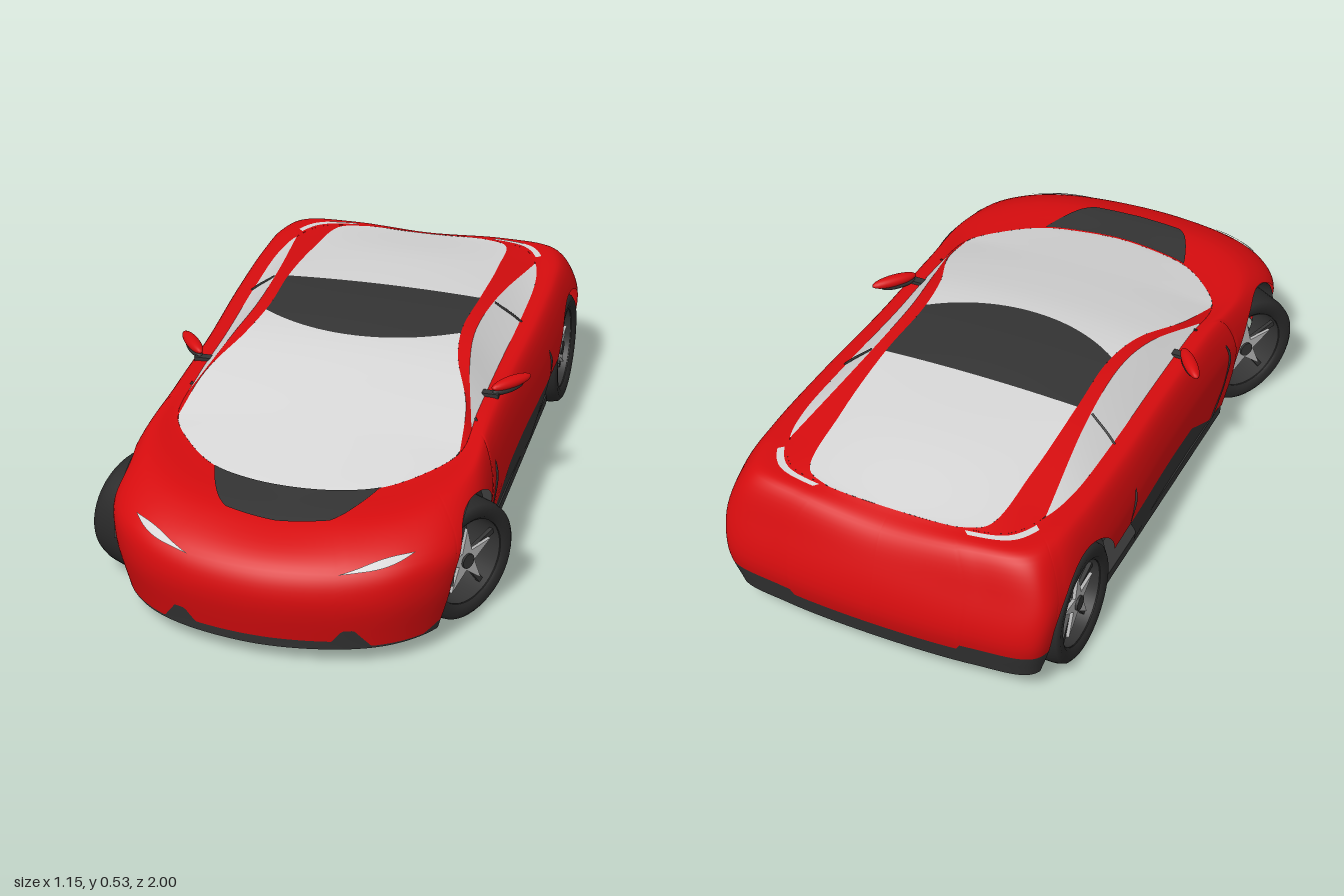
import * as THREE from 'three';

const V = (x, y, z) => new THREE.Vector3(x, y, z);
const mix = THREE.MathUtils.lerp;
const mat = (name, color) => new THREE.MeshStandardMaterial({ name, color, side: THREE.DoubleSide });
const red = mat('red paint', 0xd60c0e);
const glass = mat('pale glass', 0xd6d6d6);
const trim = mat('dark trim', 0x343434);
const rubber = mat('tyre rubber', 0x292929);
const silver = mat('silver', 0xb4b4b4);

// Piecewise-linear lookup through [x, y] pairs
const table = pts => x => {
  if (x <= pts[0][0]) return pts[0][1];
  for (let i = 1; i < pts.length; i++) {
    const [x0, y0] = pts[i - 1], [x1, y1] = pts[i];
    if (x <= x1) return mix(y0, y1, (x - x0) / (x1 - x0));
  }
  return pts[pts.length - 1][1];
};

// Loops around the car, each from one half: rear centre, left side, nose centre
function loop(half) {
  const other = half.slice(1, -1).reverse().map(p => V(-p.x, p.y, p.z));
  return new THREE.CatmullRomCurve3([...half, ...other], true);
}
const plan = [[0, -1], [.3, -.985], [.47, -.95], [.5, -.87], [.507, -.7], [.505, -.4], [.492, -.05],
  [.492, .3], [.503, .6], [.475, .78], [.39, .89], [.26, .96], [0, 1]];
// The plan outline scaled, at a height running from rear to nose
const ring = (sx, sz, yRear, yNose) => plan.map(([x, z], i) => V(x * sx, mix(yRear, yNose, i / 12), z * sz));
const beltPoints = [[0, .45, -.86], [.2, .455, -.855], [.33, .455, -.82], [.39, .455, -.72], [.415, .45, -.6],
  [.42, .44, -.35], [.415, .43, -.05], [.415, .425, .22], [.41, .4, .42], [.33, .385, .54], [.235, .375, .62],
  [.12, .37, .657], [0, .37, .67]].map(p => V(...p));
const waist = ring(1.01, .968, .335, .295);
const shoulder = waist.map((p, i) => {
  const q = beltPoints[i];
  return V(mix(p.x, q.x, .42), mix(p.y, q.y, .75) + .04 * p.x, mix(p.z, q.z, .42));
});
const belt = loop(beltPoints);
const loops = [loop(ring(.945, .973, .08, .055)), loop(ring(1, 1, .2, .22)), loop(waist), loop(shoulder), belt];

function named(name, geometry, material, x = 0, y = 0, z = 0) {
  const m = new THREE.Mesh(geometry, material);
  m.name = name;
  m.position.set(x, y, z);
  return m;
}
// Grid surface from f(i, j) with i, j in 0..1
function grid(name, material, ni, nj, f) {
  const pos = [], idx = [];
  for (let i = 0; i <= ni; i++) for (let j = 0; j <= nj; j++) pos.push(...f(i / ni, j / nj).toArray());
  for (let i = 0; i < ni; i++) for (let j = 0; j < nj; j++) {
    const a = i * (nj + 1) + j, b = a + nj + 1;
    idx.push(a, a + 1, b, b, a + 1, b + 1);
  }
  const g = new THREE.BufferGeometry();
  g.setAttribute('position', new THREE.Float32BufferAttribute(pos, 3));
  g.setIndex(idx);
  g.computeVertexNormals();
  return named(name, g, material);
}

// Body panel: columns at loop positions i0..i1 (of 24), between levels lo and hi (0..4)
function panel(name, material, i0, i1, cols, rows, lo, hi, lift = 0) {
  let last = -1, col, v0, v1;
  return grid(name, material, cols, rows, (a, b) => {
    if (a !== last) {
      last = a;
      const i = mix(i0, i1, a);
      const c = new THREE.CatmullRomCurve3(loops.map(l => l.getPoint(i / 24)));
      col = v => c.getPoint(v / 4);
      v0 = lo(col, i);
      v1 = hi(col, i);
    }
    const p = col(mix(v0, v1, b));
    return V(p.x * (1 + lift), p.y + lift, p.z * (1 + lift));
  });
}
// Level at which a column reaches the height given by fn
const cut = fn => col => {
  const below = v => { const p = col(v); return p.y < fn(p); };
  if (!below(0)) return 0;
  let a = 0, b = 3;
  for (let k = 0; k < 18; k++) { const m = (a + b) / 2; if (below(m)) a = m; else b = m; }
  return b;
};

// Lower edge of the painted body: arches, skirt line, bumpers
const axles = [.59, -.71];
const intake = table([[.19, .085], [.22, .125], [.25, .125], [.29, .065], [.41, .065], [.5, .13]]);
const skirtTop = table([[-.41, .23], [.09, .2], [.31, .065]]);
const skirtLow = table([[-.41, .23], [-.31, .11], [-.309, 0]]);
function paintLow({ x, z }) {
  if (z < -.9) return Math.abs(x) < .25 ? .14 : .16;
  if (z > .78) return intake(Math.abs(x));
  let y = z > -.41 && z < .31 ? skirtTop(z) : z > -.56 && z <= -.41 ? .23 : 0;
  for (const c of axles) if (Math.abs(z - c) < .195) y = Math.max(y, .17 + Math.sqrt(.195 ** 2 - (z - c) ** 2));
  return y;
}
function trimLow(p) {
  if (p.z < -.9 || p.z > .78) return 0;
  return p.z > -.41 && p.z < .31 ? skirtLow(p.z) : paintLow(p);
}

// Curves looked up by z for the cabin
function track(points) {
  return z => {
    let k = 1;
    while (k < points.length - 1 && points[k].z < z) k++;
    const a = points[k - 1], b = points[k];
    return a.clone().lerp(b, THREE.MathUtils.clamp((z - a.z) / (b.z - a.z), 0, 1));
  };
}
const smooth = pts => track(new THREE.CatmullRomCurve3(pts.map(p => V(...p))).getPoints(300));
const beltAt = track(Array.from({ length: 601 }, (_, k) => belt.getPoint(k / 1200)));
const railIn = smooth([[.2, .455, -.855], [.27, .46, -.82], [.295, .485, -.6], [.3, .512, -.32],
  [.295, .515, -.1], [.32, .5, .06], [.385, .455, .24], [.41, .4, .42]]);
const railOut = smooth([[.39, .455, -.72], [.345, .502, -.35], [.335, .512, -.1], [.355, .495, .06], [.415, .42, .3]]);
const crown = smooth([[0, .45, -.86], [0, .496, -.6], [0, .52, -.32], [0, .526, -.15], [0, .512, .06],
  [0, .475, .24], [0, .43, .42], [0, .37, .67]]);
const inner = z => (z < -.855 || z > .42 ? beltAt(z) : railIn(z));
const outer = z => (z < -.72 || z > .3 ? beltAt(z) : railOut(z));
const ease = w => (1 - Math.cos(Math.PI * w)) / 2;

function topPanel(name, material, z0, z1) {
  return grid(name, material, 32, 40, (a, w) => {
    const u = a * 2 - 1, z = mix(z0(u), z1(u), ease(w)), r = inner(z);
    return V(u * r.x, mix(r.y, crown(z).y, 1 - u * u), z);
  });
}
function sideBand(name, material, s, z0, z1, low, high) {
  return grid(name, material, 80, 4, (a, b) => {
    const z = mix(z0, z1, ease(s > 0 ? a : 1 - a)), p = low(z).lerp(high(z), b);
    return V(s * p.x, p.y, z);
  });
}

function wheel(name) {
  const g = new THREE.Group();
  g.name = name;
  const half = [[.125, -.062], [.135, -.072], [.158, -.075], [.17, -.066], [.175, -.045]];
  const profile = [...half, ...half.slice().reverse().map(([r, w]) => [r, -w])].map(p => new THREE.Vector2(...p));
  const tyre = named('tyre', new THREE.LatheGeometry(profile, 48), rubber);
  const barrel = named('rim barrel', new THREE.CylinderGeometry(.126, .126, .13, 48, 1, true), trim);
  tyre.rotation.z = barrel.rotation.z = Math.PI / 2;
  // Star-shaped rim with slender dark arms reaching the barrel
  const star = new THREE.Shape(Array.from({ length: 10 }, (_, k) => {
    const r = k % 2 ? .032 : .1, a = k * Math.PI / 5 + Math.PI / 2;
    return new THREE.Vector2(r * Math.cos(a), r * Math.sin(a));
  }));
  const face = named('star rim', new THREE.ExtrudeGeometry(star, { depth: .01, bevelEnabled: false }), silver, .045);
  face.rotation.y = Math.PI / 2;
  const hub = named('hub', new THREE.CylinderGeometry(.018, .022, .06, 20), trim, .032);
  hub.rotation.z = Math.PI / 2;
  g.add(tyre, barrel, face, hub);
  for (let k = 0; k < 5; k++) {
    const a = k * Math.PI * .4;
    const arm = named('rim arm', new THREE.BoxGeometry(.012, .12, .016), trim, .037, .065 * Math.cos(a), .065 * Math.sin(a));
    arm.rotation.x = a;
    g.add(arm);
  }
  return g;
}

export function createModel() {
  const car = new THREE.Group();
  car.name = 'sports car';
  const top = () => 4;
  car.add(panel('body shell', red, 0, 24, 720, 24, cut(paintLow), top));
  car.add(panel('lower trim', trim, 0, 24, 720, 4, cut(trimLow), cut(paintLow)));
  const ventEdge = table([[0, 3.1], [.75, 3.15], [2, 4]]);
  car.add(panel('hood vent', trim, 10, 14, 60, 14, (c, i) => ventEdge(Math.abs(i - 12)), top, .003));

  // Cabin: rear glass, roof and windscreen
  const header = u => .025 - .1 * u * u;
  car.add(topPanel('rear window', glass, () => -.86, () => -.32));
  car.add(topPanel('roof', trim, () => -.32, header));
  car.add(topPanel('windscreen', glass, header, () => .67));

  // Floor, rising to the tail, narrow between the wheels
  const floorY = table([[-.95, .085], [-.9, .15], [-.73, .065], [-.57, .05], [.4, .05], [.75, .06]]);
  const floorW = table([[-.96, .28], [-.9, .44], [.79, .42], [.94, .23], [.97, .03]]);
  car.add(grid('floor', rubber, 160, 8, (a, b) => {
    const z = mix(-.96, .97, a), w = axles.some(c => Math.abs(z - c) < .195) ? .31 : floorW(z);
    return V(w * (b * 2 - 1), floorY(z), z);
  }));

  for (const s of [1, -1]) {
    const side = s > 0 ? 'left ' : 'right ';
    car.add(sideBand(side + 'roof rail', red, s, -.86, .67, outer, inner));
    car.add(sideBand(side + 'side window', glass, s, -.72, .3, beltAt, outer));

    // Lights
    const lampY = p => .29 + (Math.abs(p.x) - .2) * .19;
    const i = s > 0 ? [9.95, 11.25] : [12.75, 14.05];
    const lampHalf = k => .009 * Math.sin(Math.PI * (k - i[0]) / (i[1] - i[0]));
    car.add(panel(side + 'headlight', glass, ...i, 30, 4, (c, k) => cut(p => lampY(p) - lampHalf(k))(c),
      (c, k) => cut(p => lampY(p) + lampHalf(k))(c), .003));
    const r = s > 0 ? [1.1, 2.7] : [21.3, 22.9];
    car.add(panel(side + 'tail strip', glass, ...r, 24, 3, () => 3.72, () => 3.92, .002));

    // Door seams
    const seams = [
      [[.468, .075, .31], [.491, .2, .345], [.499, .32, .34], [.417, .426, .26]],
      [[.506, .23, -.41], [.51, .32, -.38], [.421, .441, -.34], [.346, .503, -.32]],
    ];
    for (const pts of seams) {
      const c = new THREE.CatmullRomCurve3(pts.map(([x, y, z]) => V(s * x, y, z)));
      car.add(named(side + 'door seam', new THREE.TubeGeometry(c, 30, .0035, 6), trim));
    }
    car.add(named(side + 'sill', new THREE.BoxGeometry(.07, .03, .95), trim, s * .435, .06, -.095));

    // Mirrors
    const mirror = new THREE.Group();
    mirror.name = side + 'mirror';
    const ball = new THREE.SphereGeometry(1, 24, 16);
    const cap = named('mirror cap', ball, red, 0, .007, 0);
    cap.scale.set(.072, .017, .02);
    const under = named('mirror base', ball, trim, -s * .012, -.008, 0);
    under.scale.set(.056, .014, .017);
    mirror.add(cap, under);
    mirror.position.set(s * .48, .445, .07);
    mirror.rotation.y = s * .9;
    car.add(mirror, named(side + 'mirror stalk', new THREE.BoxGeometry(.06, .016, .025), trim, s * .425, .43, .12));

    // Wheels and wheel wells; the front pair is steered
    axles.forEach((z, k) => {
      const w = wheel(side + (k ? 'rear wheel' : 'front wheel'));
      w.position.set(s * .43, .175, k ? z : .58);
      w.rotation.y = (s > 0 ? 0 : Math.PI) + (k ? 0 : -.52);
      car.add(w);
      car.add(grid(side + 'wheel arch lining', trim, 32, 1, (a, b) => {
        const t = mix(.15, Math.PI - .15, a);
        return V(s * mix(.29, .48, b), .17 + .194 * Math.sin(t), z + .194 * Math.cos(t));
      }));
      const wall = new THREE.Shape();
      wall.moveTo(-.194, k ? -.02 : -.11);
      wall.lineTo(k ? -.02 : 0, -.11);
      wall.lineTo(.194, -.11);
      wall.absarc(0, 0, .194, 0, Math.PI, false);
      const well = named(side + 'wheel well wall', new THREE.ShapeGeometry(wall, 24), trim, s * .29, .17, z);
      well.rotation.y = -Math.PI / 2;
      car.add(well);
    });
  }
  return car;
}
